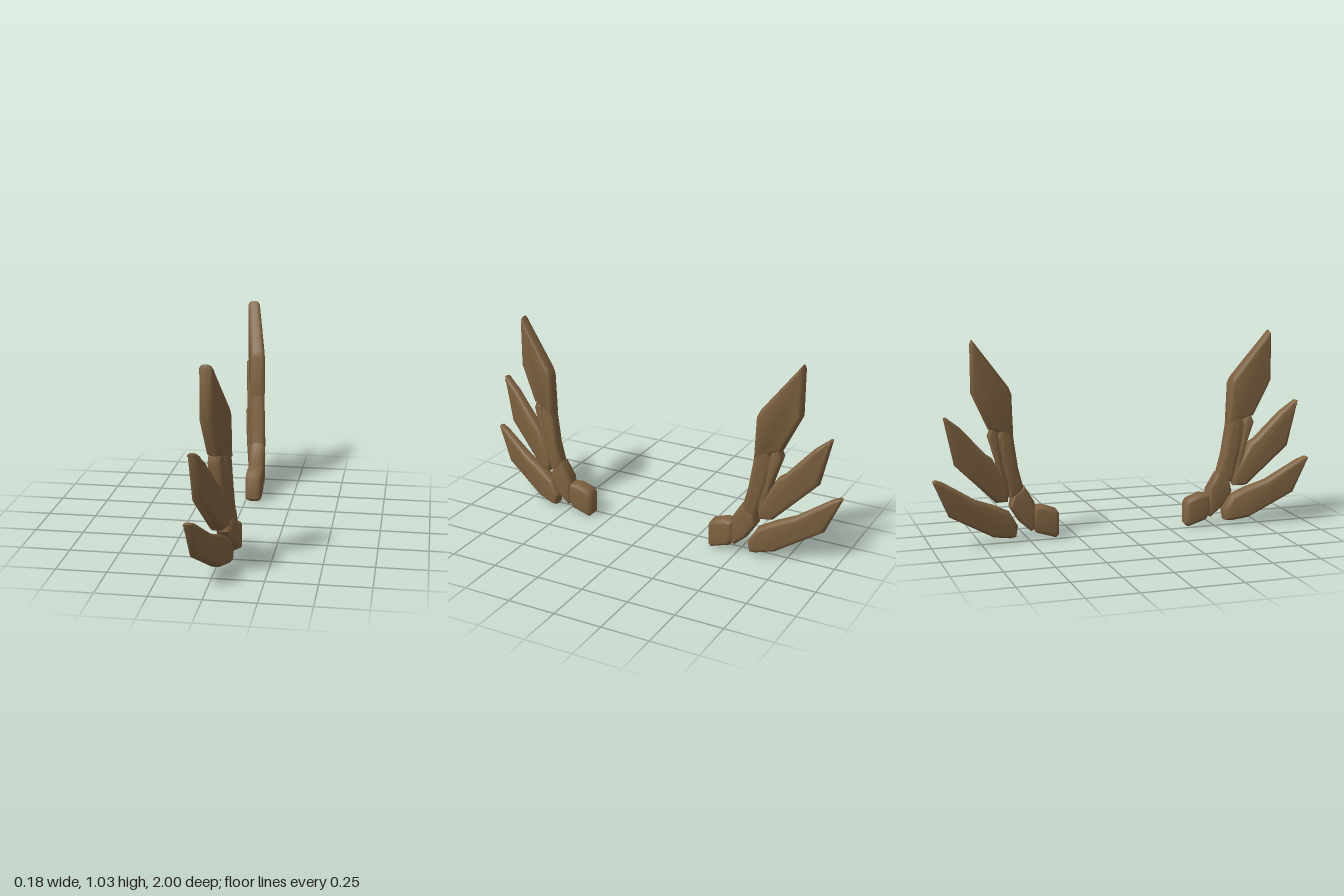
import * as THREE from 'three';
import { mergeVertices, toCreasedNormals } from 'three/addons/utils/BufferGeometryUtils.js';

// Each wing bends towards -x and thins out with distance from the middle
const bend = (z) => 0.043 - 0.247 * Math.max(0, z - 0.55);
const halfThickness = (z) => 0.043 - 0.046 * Math.max(0, z - 0.55);

// Outlines as [z, y]; round = bevel inset, thick = thickness factor
const parts = [
  { name: 'wingRoot', round: 0.022, thick: 1.04,
    outline: [[0.475, 0.172], [0.43, 0.178], [0.357, 0.152], [0.342, 0.13], [0.342, 0.02], [0.36, 0.003], [0.46, 0.035], [0.485, 0.08]] },
  { name: 'elbow', round: 0.02, thick: 0.98,
    outline: [[0.522, 0.285], [0.468, 0.195], [0.465, 0.06], [0.487, 0.045], [0.55, 0.1], [0.6, 0.18], [0.585, 0.25]] },
  { name: 'armBone', round: 0.02, thick: 0.95,
    outline: [[0.6, 0.64], [0.578, 0.56], [0.552, 0.38], [0.524, 0.27], [0.55, 0.23], [0.6, 0.23], [0.615, 0.3], [0.64, 0.42], [0.655, 0.6]] },
  { name: 'mainBlade', round: 0.02, thick: 1,
    outline: [[0.782, 1.032], [0.792, 1.01], [0.792, 0.77], [0.705, 0.585], [0.63, 0.56], [0.575, 0.54], [0.582, 0.755], [0.597, 0.79]] },
  { name: 'innerCovert', round: 0.012, thick: 0.8,
    outline: [[0.645, 0.57], [0.615, 0.54], [0.59, 0.36], [0.595, 0.26], [0.62, 0.28], [0.645, 0.42], [0.665, 0.53]] },
  { name: 'outerCovert', round: 0.012, thick: 0.85,
    outline: [[0.69, 0.6], [0.655, 0.57], [0.635, 0.42], [0.605, 0.3], [0.615, 0.22], [0.64, 0.28], [0.67, 0.42], [0.71, 0.55]] },
  { name: 'middleFeather', round: 0.02, thick: 1,
    outline: [[0.937, 0.662], [0.925, 0.665], [0.85, 0.605], [0.72, 0.46], [0.69, 0.44], [0.6, 0.27], [0.61, 0.21], [0.674, 0.212], [0.885, 0.422]] },
  { name: 'lowerFeather', round: 0.02, thick: 1,
    outline: [[1.0, 0.355], [0.985, 0.362], [0.945, 0.345], [0.78, 0.237], [0.68, 0.197], [0.6, 0.155], [0.557, 0.08], [0.567, 0.023], [0.6, 0.02], [0.69, 0.037], [0.92, 0.17]] },
];

// Rounded plate laid on the bent wing surface; side is +1 or -1 along z
function plateGeometry({ outline, round, thick }, side) {
  const shape = new THREE.Shape(outline.map(([z, y]) => new THREE.Vector2(z, y)));
  let geo = new THREE.ExtrudeGeometry(shape, {
    depth: 0.6, bevelThickness: 0.7, bevelSize: round, bevelOffset: -round, bevelSegments: 4,
  });
  geo.deleteAttribute('normal');
  geo.deleteAttribute('uv');
  geo.clearGroups();
  geo = mergeVertices(geo, 1e-5);
  const p = geo.attributes.position;
  for (let i = 0; i < p.count; i++) {
    const z = p.getX(i), y = p.getY(i), t = p.getZ(i) - 0.3;
    p.setXYZ(i, bend(z) + t * halfThickness(z) * thick, y, z * side);
  }
  // The swapped axes mirror the +z wing, so turn its faces back
  if (side > 0) {
    const idx = geo.index;
    for (let i = 0; i < idx.count; i += 3) {
      const a = idx.getX(i);
      idx.setX(i, idx.getX(i + 1));
      idx.setX(i + 1, a);
    }
  }
  return toCreasedNormals(geo, 0.7);
}

export function createModel() {
  const brown = new THREE.MeshStandardMaterial({ color: 0x7d6140 });
  brown.name = 'woodBrown';
  const model = new THREE.Group();
  model.name = 'wingPair';
  for (const side of [1, -1]) {
    const wing = new THREE.Group();
    wing.name = side > 0 ? 'frontWing' : 'backWing';
    for (const part of parts) {
      const mesh = new THREE.Mesh(plateGeometry(part, side), brown);
      mesh.name = part.name;
      wing.add(mesh);
    }
    model.add(wing);
  }
  return model;
}
